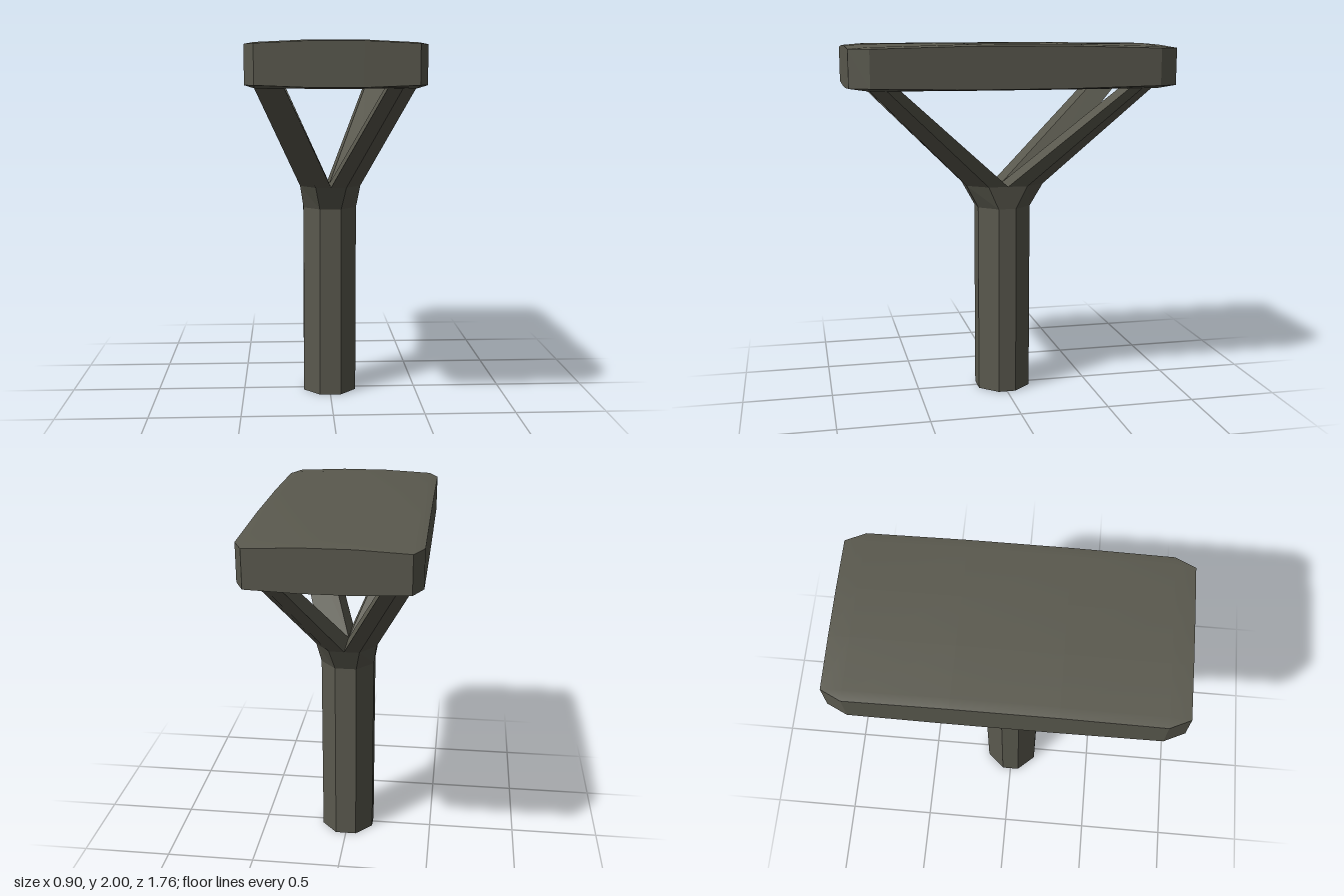
import * as THREE from 'three';
import { mergeVertices } from 'three/addons/utils/BufferGeometryUtils.js';

// Geometry from a flat list of points, three per triangle
function fromTriangles(points, smooth = false) {
  let geo = new THREE.BufferGeometry();
  geo.setAttribute('position', new THREE.Float32BufferAttribute(points.flat(), 3));
  if (smooth) geo = mergeVertices(geo);
  geo.computeVertexNormals();
  return geo;
}

// Join rings (running from +x towards +z, listed bottom to top), with optional caps
function loft(rings, capped = true) {
  const out = [];
  const n = rings[0].length;
  for (let r = 0; r < rings.length - 1; r++) {
    for (let i = 0; i < n; i++) {
      const j = (i + 1) % n;
      const a = rings[r][i], b = rings[r][j], c = rings[r + 1][j], d = rings[r + 1][i];
      out.push(a, d, c, a, c, b);
    }
  }
  if (capped) {
    const low = rings[0], high = rings[rings.length - 1];
    for (let i = 1; i < n - 1; i++) {
      out.push(low[0], low[i], low[i + 1], high[0], high[i + 1], high[i]);
    }
  }
  return fromTriangles(out);
}

// Eight-sided ring: front corner (fx, fz), side corner (sx, sz)
function octagon(y, fx, fz, sx, sz) {
  return [[sx, sz], [fx, fz], [-fx, fz], [-sx, sz], [-sx, -sz], [-fx, -fz], [fx, -fz], [sx, -sz]]
    .map(([x, z]) => [x, y, z]);
}

// Slab grid lines and its gentle crown
const XS = [-0.45, -0.4, -0.13, 0.13, 0.4, 0.45];
const ZS = [-0.88, -0.775, -0.26, 0.26, 0.775, 0.88];
const DROP = [0.012, 0.003, 0, 0, 0.003, 0.012];
const isCorner = (i, j) => i % 5 === 0 && j % 5 === 0;
const isEdge = (i, j) => i % 5 === 0 || j % 5 === 0;
const outer = (k) => k < 2 || k > 3;

function slabPoint(i, j, top) {
  const corner = outer(i) && outer(j) ? 0.01 : 0;
  const drop = DROP[i] + DROP[j];
  const y = top ? 2 - drop - corner : 1.757 + drop * 0.8 + (isEdge(i, j) ? corner * 0.8 : 0);
  return [XS[i], y, ZS[j]];
}

function slabFace(top) {
  const out = [];
  for (let i = 0; i < 5; i++) {
    for (let j = 0; j < 5; j++) {
      const cell = [[i, j], [i, j + 1], [i + 1, j + 1], [i + 1, j]]
        .filter(([a, b]) => !isCorner(a, b))
        .map(([a, b]) => slabPoint(a, b, top));
      if (!top) cell.reverse();
      for (let k = 1; k < cell.length - 1; k++) out.push(cell[0], cell[k], cell[k + 1]);
    }
  }
  return fromTriangles(out, top);
}

function slabSides() {
  const rim = [];
  for (let i = 0; i < 6; i++) {
    for (let j = 0; j < 6; j++) {
      if (isEdge(i, j) && !isCorner(i, j)) rim.push([i, j]);
    }
  }
  rim.sort((a, b) => Math.atan2(ZS[a[1]], XS[a[0]]) - Math.atan2(ZS[b[1]], XS[b[0]]));
  return loft([false, true].map((top) => rim.map(([i, j]) => slabPoint(i, j, top))), false);
}

// One arm rising from a quarter of the collar to a corner of the slab
function armGeometry(sx, sz) {
  const foot = [[0, 0], [0.17, 0], [0.17, 0.11], [0.085, 0.22], [0, 0.22]];
  const head = [[0.26, 0.63], [0.41, 0.63], [0.41, 0.7], [0.335, 0.785], [0.26, 0.785]];
  const rings = [[foot, 1.21], [head, 1.775]].map(([pts, y]) => {
    const ring = pts.map(([x, z]) => [x * sx, y, z * sz]);
    return sx * sz < 0 ? ring.reverse() : ring;
  });
  return loft(rings);
}

export function createModel() {
  const model = new THREE.Group();
  model.name = 'pillarWithSlab';
  const stone = new THREE.MeshStandardMaterial({ color: 0x5a594e });
  stone.name = 'dark olive grey';

  const add = (name, geometry, parent = model) => {
    const mesh = new THREE.Mesh(geometry, stone);
    mesh.name = name;
    parent.add(mesh);
  };

  // Eight-sided post with a flared collar
  add('post', loft([
    octagon(0, 0.06, 0.15, 0.15, 0.05),
    octagon(1.08, 0.06, 0.15, 0.15, 0.05),
    octagon(1.21, 0.085, 0.22, 0.17, 0.11),
  ]));

  // Four branching arms
  for (const [sx, side] of [[1, 'Left'], [-1, 'Right']]) {
    for (const [sz, end] of [[1, 'front'], [-1, 'back']]) {
      add(`${end}${side}Arm`, armGeometry(sx, sz));
    }
  }

  // Crowned slab with clipped corners
  const slab = new THREE.Group();
  slab.name = 'slab';
  model.add(slab);
  add('slabTop', slabFace(true), slab);
  add('slabUnderside', slabFace(false), slab);
  add('slabSides', slabSides(), slab);

  return model;
}
